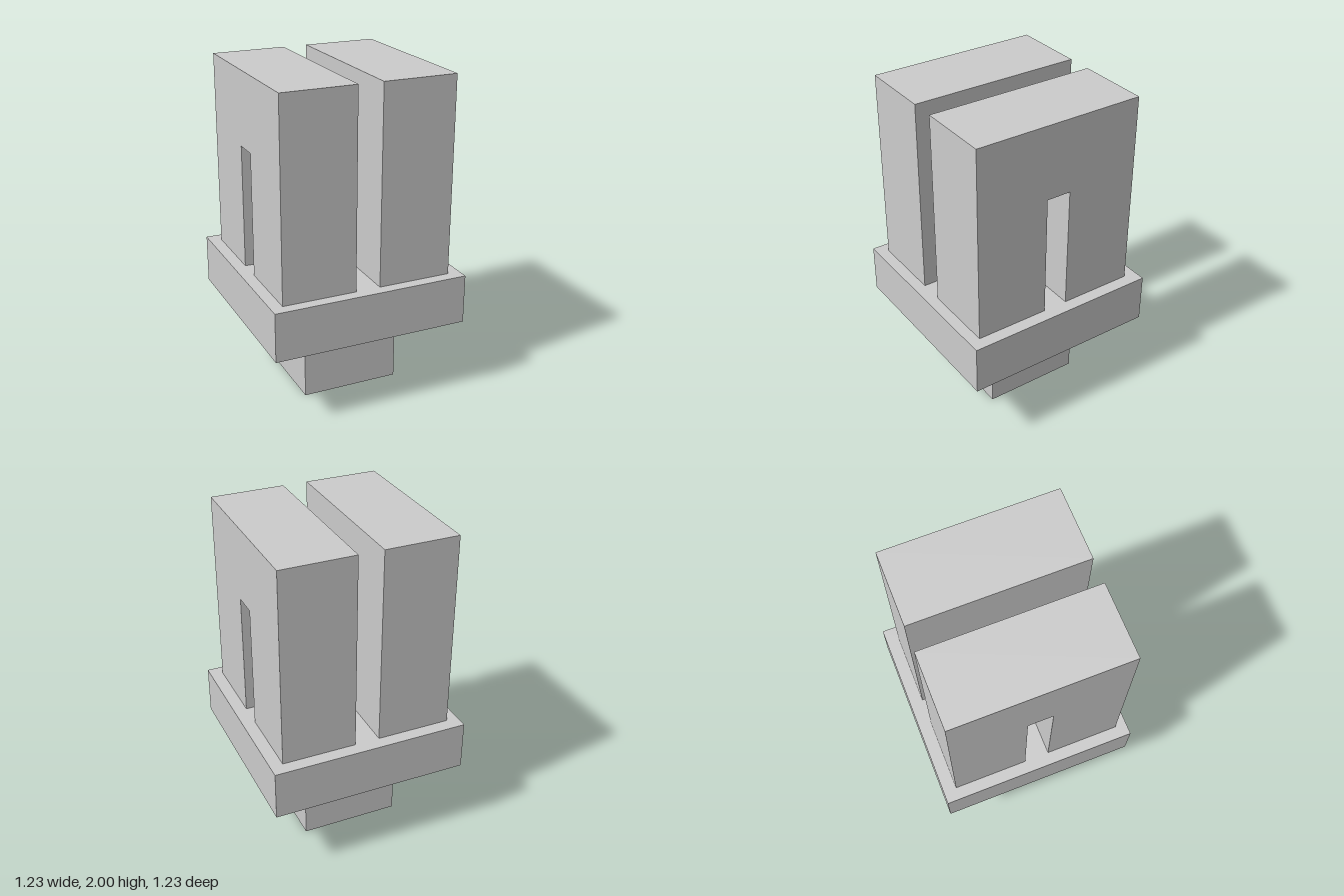
import * as THREE from 'three';

const U = 2 / 26; // grid unit: the model is 26 units tall
const material = new THREE.MeshStandardMaterial({ color: 0xcccccc, flatShading: true });

function block(name, width, bottom, top) {
  const geometry = new THREE.BoxGeometry(width * U, (top - bottom) * U, width * U);
  geometry.translate(0, ((bottom + top) / 2) * U, 0);
  const mesh = new THREE.Mesh(geometry, material);
  mesh.name = name;
  return mesh;
}

// Upright slab with a slot open at the bottom, drawn in (z, y) and extruded across x
function slottedSlab(name, centreX) {
  const outline = [[-7, 10], [-1, 10], [-1, 20], [1, 20], [1, 10], [7, 10], [7, 26], [-7, 26]];
  const shape = new THREE.Shape(outline.map(([z, y]) => new THREE.Vector2(z * U, y * U)));
  const geometry = new THREE.ExtrudeGeometry(shape, { depth: 6 * U, bevelEnabled: false });
  geometry.translate(0, 0, -3 * U);
  geometry.rotateY(-Math.PI / 2);
  const mesh = new THREE.Mesh(geometry, material);
  mesh.name = name;
  mesh.position.set(centreX * U - 0.002, 0, 0.005);
  return mesh;
}

export function createModel() {
  const model = new THREE.Group();
  model.name = 'slottedPlug';
  model.add(block('stem', 8, 0, 6), block('basePlate', 16, 6, 10));
  model.add(slottedSlab('leftSlab', 4), slottedSlab('rightSlab', -4));
  return model;
}
